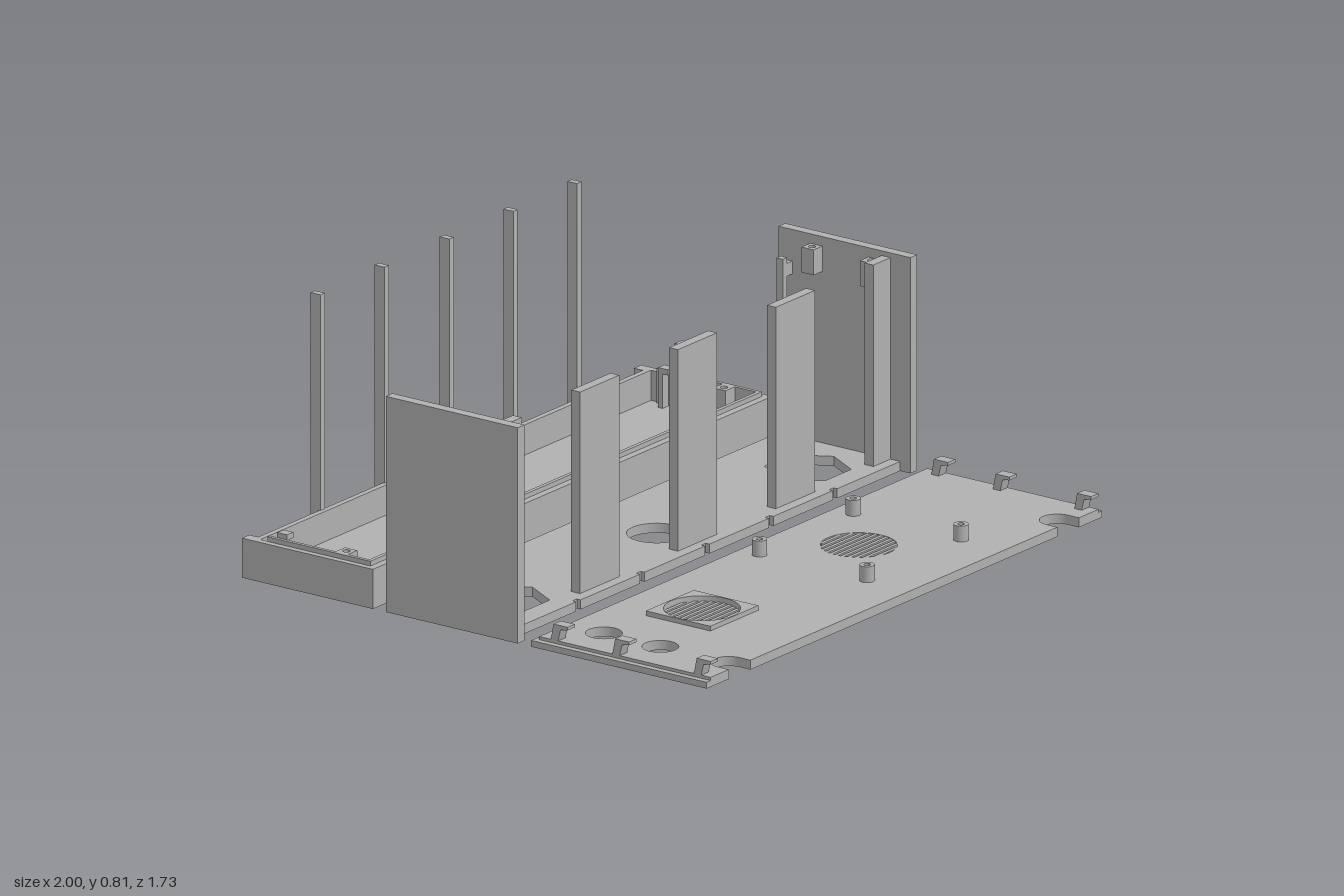
import * as THREE from 'three';

const grey = new THREE.MeshStandardMaterial({ color: 0xb0b0b0 });
grey.name = 'plain grey';
const RODS = [-0.645, -0.325, 0, 0.32, 0.64];

function add(parent, name, geometry) {
  const mesh = new THREE.Mesh(geometry, grey);
  mesh.name = name;
  parent.add(mesh);
  return mesh;
}

// Box given by its limits on each axis
function box(parent, name, x0, x1, y0, y1, z0, z1) {
  const g = new THREE.BoxGeometry(x1 - x0, y1 - y0, z1 - z0);
  g.translate((x0 + x1) / 2, (y0 + y1) / 2, (z0 + z1) / 2);
  return add(parent, name, g);
}

// The same box on the left and on the right
function pair(parent, name, x0, x1, y0, y1, z0, z1) {
  box(parent, name + 'Left', x0, x1, y0, y1, z0, z1);
  box(parent, name + 'Right', -x1, -x0, y0, y1, z0, z1);
}

// Flat outline (x, -z) raised from y0 to y1
function plate(parent, name, shape, y0, y1) {
  const g = new THREE.ExtrudeGeometry(shape, { depth: y1 - y0, bevelEnabled: false, curveSegments: 24 });
  g.rotateX(-Math.PI / 2).translate(0, y0, 0);
  return add(parent, name, g);
}

function rect(x0, x1, z0, z1) {
  return new THREE.Shape([[x0, -z1], [x1, -z1], [x1, -z0], [x0, -z0]].map(p => new THREE.Vector2(...p)));
}

function disc(x, z, r) {
  return new THREE.Path().absarc(x, -z, r, 0, Math.PI * 2, true);
}

function hexagon(x, z, r) {
  const points = [];
  for (let i = 0; i < 6; i++) {
    const a = -i * Math.PI / 3;
    points.push(new THREE.Vector2(x + r * Math.cos(a), -z + r * Math.sin(a)));
  }
  return new THREE.Path(points);
}

// Square screw lug with a round hole
function lug(parent, name, x, z, size, y0, y1) {
  const s = rect(x - size / 2, x + size / 2, z - size / 2, z + size / 2);
  s.holes.push(disc(x, z, size * 0.25));
  return plate(parent, name, s, y0, y1);
}

// Cover plate with grilles, ports, posts and hooks
function coverPlate() {
  const g = new THREE.Group();
  g.name = 'coverPlate';

  const outline = (x0, x1, z0) => {
    const s = new THREE.Shape();
    s.moveTo(x0, -0.862);
    for (const c of [-0.835, 0.81]) {
      s.lineTo(c - 0.054, -0.862);
      s.lineTo(c - 0.054, -0.822);
      s.absarc(c, -0.822, 0.054, Math.PI, 0, true);
      s.lineTo(c + 0.054, -0.862);
    }
    s.lineTo(x1, -0.862);
    s.lineTo(x1, -z0);
    s.lineTo(x0, -z0);
    s.holes.push(disc(-0.838, 0.36, 0.055), disc(-0.838, 0.57, 0.055),
      disc(-0.515, 0.485, 0.115), disc(0.27, 0.485, 0.115));
    return s;
  };
  plate(g, 'coverBase', outline(-1, 0.98, 0.21), 0, 0.02);
  plate(g, 'coverUpperLayer', outline(-0.98, 0.963, 0.225), 0.02, 0.03);

  const frame = rect(-0.635, -0.395, 0.365, 0.605);
  frame.holes.push(disc(-0.515, 0.485, 0.115));
  plate(g, 'grilleFrame', frame, 0.03, 0.045);

  for (const x of [-0.515, 0.27]) {
    for (let i = -5; i <= 5; i++) {
      const d = i * 0.0205, half = Math.sqrt(0.115 ** 2 - d * d) + 0.002;
      box(g, 'grilleBar', x - half, x + half, 0.001, 0.029, 0.485 + d - 0.006, 0.485 + d + 0.006);
    }
  }

  for (const x of [0.022, 0.492]) {
    for (const z of [0.3, 0.7]) {
      const s = new THREE.Shape().absarc(x, -z, 0.023, 0, Math.PI * 2, false);
      s.holes.push(disc(x, z, 0.01));
      plate(g, 'screwPost', s, 0.03, 0.08);
    }
  }

  // Hook profile in z and y, extruded across x
  const hook = new THREE.Shape([[0.0, 0.03], [0.027, 0.03], [0.036, 0.066], [0.062, 0.07], [0.062, 0.08], [0.01, 0.08]]
    .map(p => new THREE.Vector2(-p[0], p[1])).reverse());
  for (const x of [-0.98, 0.925]) {
    for (const z of [0.268, 0.497, 0.8]) {
      const h = new THREE.ExtrudeGeometry(hook, { depth: 0.037, bevelEnabled: false });
      h.rotateY(Math.PI / 2).translate(x, 0, z);
      add(g, 'snapHook', h);
    }
  }
  return g;
}

// Middle body: floor, two end walls, upright front panels
function body() {
  const g = new THREE.Group();
  g.name = 'body';

  const s = new THREE.Shape();
  s.moveTo(-0.985, -0.122);
  for (const x of RODS) {
    s.lineTo(x - 0.011, -0.122);
    s.lineTo(x - 0.011, -0.108);
    s.lineTo(x + 0.011, -0.108);
    s.lineTo(x + 0.011, -0.122);
  }
  s.lineTo(0.985, -0.122);
  s.lineTo(0.985, 0.33);
  s.lineTo(-0.985, 0.33);
  s.holes.push(hexagon(-0.755, -0.065, 0.131), hexagon(0.755, -0.065, 0.131), disc(0, -0.065, 0.091));
  plate(g, 'bodyFloor', s, 0, 0.03);

  pair(g, 'endWall', 0.966, 1, 0, 0.68, -0.33, 0.16);
  pair(g, 'cornerPanel', 0.88, 0.967, 0.03, 0.665, 0.053, 0.086);
  for (const x of [-0.49, 0, 0.49]) {
    box(g, 'frontPanel', x - 0.098, x + 0.098, 0.03, 0.665, 0.053, 0.086);
  }

  // Guide strips standing off the end walls
  pair(g, 'guideStrip', 0.916, 0.938, 0.03, 0.6, -0.3, -0.277);
  for (const y of [0.1, 0.33, 0.54]) {
    pair(g, 'guideBracket', 0.938, 0.967, y, y + 0.04, -0.298, -0.279);
  }

  // Screw lugs near the top
  for (const side of [-1, 1]) {
    lug(g, 'wallLug', side * 0.945, -0.19, 0.045, 0.57, 0.65);
    lug(g, 'cornerLug', side * 0.95, 0.028, 0.05, 0.57, 0.65);
  }
  lug(g, 'panelLug', 0, 0.036, 0.04, 0.57, 0.65);
  return g;
}

// Rear tray with low walls and tall rods
function tray() {
  const g = new THREE.Group();
  g.name = 'tray';

  box(g, 'trayFloor', -0.98, 0.98, 0.01, 0.03, -0.82, -0.39);
  // Underside slabs leave a groove in line with each rod
  const edges = [-0.99, ...RODS, 0.99];
  for (let i = 0; i < edges.length - 1; i++) {
    box(g, 'floorSlab', edges[i] + 0.01, edges[i + 1] - 0.01, 0, 0.01, -0.83, -0.39);
  }
  box(g, 'trayFrontWall', -1, 1, 0, 0.125, -0.405, -0.378);
  box(g, 'trayBackWall', -0.98, 0.98, 0, 0.125, -0.832, -0.813);
  pair(g, 'traySideWall', 0.978, 1, 0, 0.125, -0.865, -0.4);
  pair(g, 'trayCorner', 0.963, 0.98, 0, 0.125, -0.865, -0.83);

  // Inner lip rising above the walls
  box(g, 'frontLip', -0.975, 0.975, 0.03, 0.14, -0.415, -0.402);
  pair(g, 'sideLip', 0.968, 0.98, 0.03, 0.14, -0.785, -0.402);

  for (const x of RODS) {
    box(g, 'rod', x - 0.011, x + 0.011, 0, 0.805, -0.865, -0.828);
  }
  for (const side of [-1, 1]) {
    lug(g, 'trayLug', side * 0.945, -0.517, 0.046, 0.08, 0.14);
  }
  lug(g, 'rearLug', 0, -0.77, 0.046, 0.08, 0.125);
  box(g, 'rearLugArm', -0.023, 0.023, 0.08, 0.125, -0.815, -0.793);
  pair(g, 'trayHook', 0.938, 0.969, 0.03, 0.14, -0.757, -0.74);
  pair(g, 'trayHookHead', 0.938, 0.969, 0.138, 0.156, -0.757, -0.72);
  return g;
}

export function createModel() {
  const model = new THREE.Group();
  model.name = 'enclosureParts';
  model.add(coverPlate(), body(), tray());
  return model;
}
